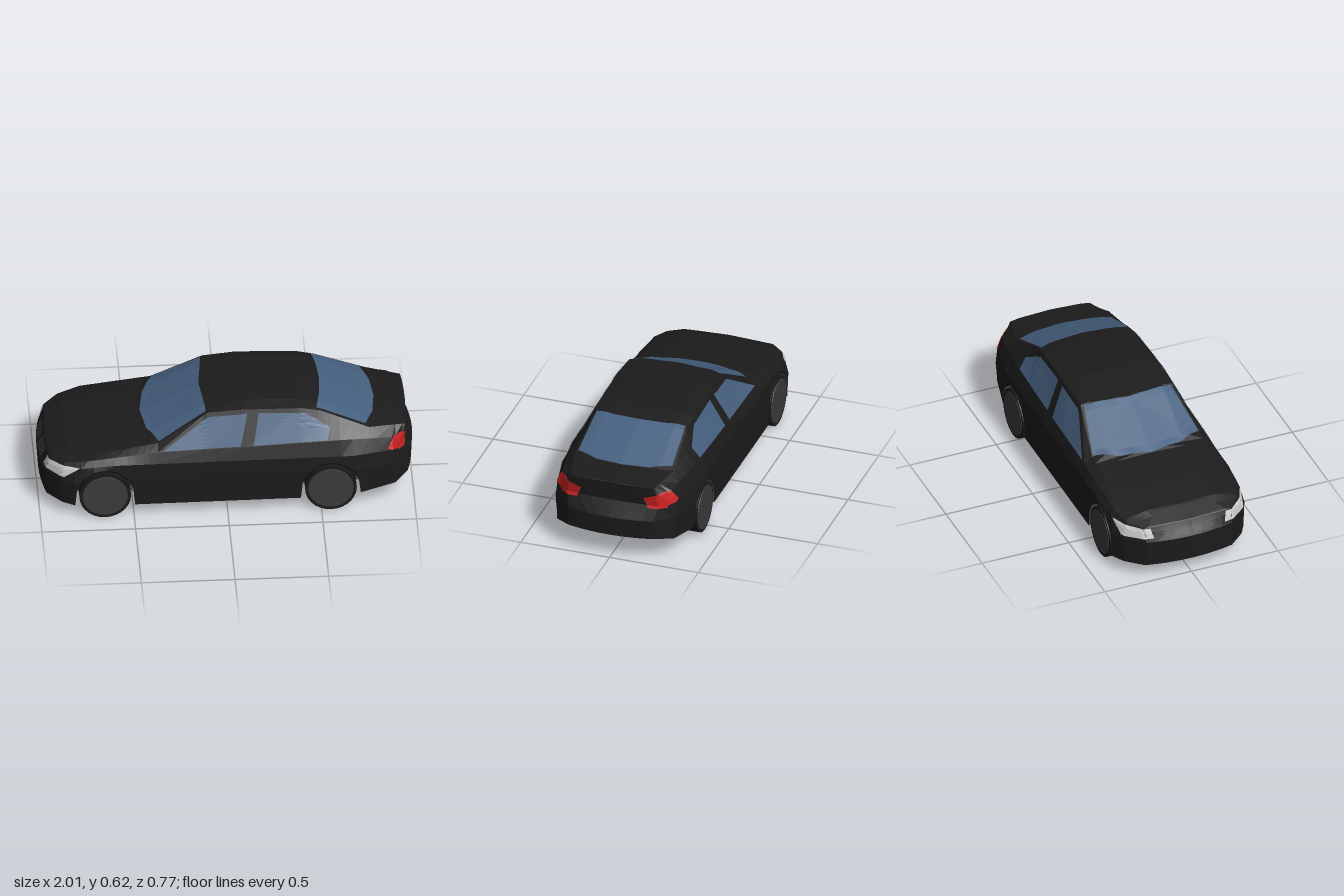
import * as THREE from 'three';

const mat = (color, side = THREE.FrontSide) => new THREE.MeshStandardMaterial({ color, side, flatShading: true });
const WHEELS = [-0.655, 0.55];

// Lengthwise rails of the +z half, lowest to highest: [x, y, z]
const sill = [[-.96, .08, .25], [-.88, .08, .34], [-.81, .08, .38], [-.49, .075, .38], [.39, .08, .38], [.7, .095, .375], [.9, .125, .33], [.97, .14, .24]];
const bumper = [[-.97, .23, .25], [-.89, .23, .345], [-.81, .23, .385], [.68, .25, .385], [.88, .25, .345], [.975, .25, .24]];
const waist = [[-.955, .28, .25], [-.88, .29, .335], [-.78, .31, .37], [-.6, .33, .38], [.67, .34, .38], [.88, .34, .335], [.94, .33, .26]];
const belt = [[-.945, .305, .25], [-.87, .32, .32], [-.75, .345, .35], [-.37, .39, .355], [.1, .405, .355], [.6, .425, .35], [.88, .405, .31], [.95, .395, .25]];
const roofEdge = [[-.94, .31, .22], [-.85, .335, .28], [-.65, .37, .31], [-.37, .42, .31], [-.1, .575, .265], [.08, .59, .27], [.4, .583, .265], [.5, .562, .262], [.76, .455, .28], [.955, .435, .23]];
const crown = [[-.945, .31, .15], [-.85, .35, .2], [-.65, .385, .2], [-.42, .42, .2], [-.12, .58, .2], [.1, .607, .2], [.4, .597, .2], [.5, .577, .2], [.78, .46, .2], [.96, .44, .18]];
const spine = [[-.955, .31, 0], [-.86, .35, 0], [-.65, .39, 0], [-.45, .42, 0], [-.13, .582, 0], [.1, .615, 0], [.4, .602, 0], [.52, .58, 0], [.8, .46, 0], [.965, .445, 0]];
const RAILS = [sill, bumper, waist, belt, roofEdge, crown, spine];
const ARCH = [[0, .292], [.06, .28], [.12, .235], [.15, .18], [.16, .07]];

// Linear lookup in a table keyed by its first column, clamped at both ends
function sample(table, u) {
  if (u <= table[0][0]) return [...table[0]];
  for (let i = 1; i < table.length; i++) {
    const a = table[i - 1], b = table[i];
    if (u <= b[0]) return a.map((v, k) => v + (b[k] - v) * (u - a[0]) / (b[0] - a[0]));
  }
  return [...table[table.length - 1]];
}

// One half cross-section, from the floor centre up to the spine
function section(u) {
  const pts = RAILS.map((r) => sample(r, u));
  const [x, floorY, z] = pts[0];
  const dx = Math.min(...WHEELS.map((c) => Math.abs(u - c)));
  const archY = dx < .16 ? Math.max(floorY, sample(ARCH, dx)[1]) : floorY;
  const inner = Math.min(.25, z);
  pts[0][1] = archY;
  pts[1][1] = Math.max(pts[1][1], archY + .012);
  return [[x, floorY, 0], [x, floorY, inner], [x, archY, inner], ...pts];
}

// Adds a quad and its mirror image
function quad(list, a, b, c, d) {
  const m = ([x, y, z]) => [x, y, -z];
  for (const p of [a, b, c, a, c, d]) list.push(...p);
  for (const p of [a, c, b, a, d, c]) list.push(...m(p));
}

function meshFrom(name, positions, material) {
  const g = new THREE.BufferGeometry();
  g.setAttribute('position', new THREE.Float32BufferAttribute(positions, 3));
  g.computeVertexNormals();
  const mesh = new THREE.Mesh(g, material);
  mesh.name = name;
  return mesh;
}

function buildShell() {
  const paint = [], wells = [];
  const us = RAILS.flat().map((p) => p[0]);
  for (const c of WHEELS) for (const [d] of ARCH) us.push(c - d, c + d);
  const stations = [...new Set(us.map((u) => +u.toFixed(3)))].sort((a, b) => a - b);
  const rings = stations.map(section);
  for (let i = 0; i < rings.length - 1; i++) {
    const p = rings[i], q = rings[i + 1];
    const open = p[2][1] > p[1][1] || q[2][1] > q[1][1];
    for (let j = 0; j < p.length - 1; j++) {
      quad(open && (j === 1 || j === 2) ? wells : paint, p[j], q[j], q[j + 1], p[j + 1]);
    }
  }
  // Bowed nose and tail
  const bulge = [0, .03, .03, .015, .012, .01, .007, 0];
  for (const [ring, s] of [[rings[0], -1], [rings[rings.length - 1], 1]]) {
    const rows = [ring[3], ...ring.slice(3)];
    const at = (j, f) => [rows[j][0] + s * bulge[j] * (1 - f * f), rows[j][1], rows[j][2] * f];
    for (let j = 0; j < rows.length - 1; j++) {
      for (const f of [1, .75, .5, .25]) {
        const c = [at(j, f), at(j + 1, f), at(j + 1, f - .25), at(j, f - .25)];
        if (s > 0) c.reverse();
        quad(paint, ...c);
      }
    }
  }
  return [meshFrom('bodyShell', paint, mat(0x1c1c1c)), meshFrom('wheelWells', wells, mat(0x555555, THREE.DoubleSide))];
}

// Lays four-cornered panels onto the shell along direction n, on both sides of the car
function panel(name, shell, color, n, ...quads) {
  const N = 8, out = [], dir = new THREE.Vector3(...n).normalize();
  const ray = new THREE.Raycaster();
  for (const corners of quads) {
    const [a, b, c, d] = corners.map((p) => new THREE.Vector3(...p));
    const grid = (i, j) => {
      const p = a.clone().lerp(b, i / N).lerp(d.clone().lerp(c, i / N), j / N);
      ray.set(p.clone().add(dir), dir.clone().negate());
      const hit = ray.intersectObject(shell)[0];
      return (hit ? hit.point : p).clone().addScaledVector(dir, .004).toArray();
    };
    for (let i = 0; i < N; i++) {
      for (let j = 0; j < N; j++) quad(out, grid(i, j), grid(i + 1, j), grid(i + 1, j + 1), grid(i, j + 1));
    }
  }
  return meshFrom(name, out, mat(color, THREE.DoubleSide));
}

function wheel(x, side) {
  const g = new THREE.Group();
  g.name = (x < 0 ? 'front' : 'rear') + (side > 0 ? 'Left' : 'Right') + 'Wheel';
  const tyre = new THREE.Mesh(new THREE.CylinderGeometry(.138, .138, .082, 28), mat(0x1a1a1a));
  const disc = new THREE.Mesh(new THREE.CylinderGeometry(.12, .122, .004, 28), mat(0x3c3c3c));
  tyre.name = 'tyre';
  disc.name = 'wheelDisc';
  disc.position.y = .042;
  g.add(tyre, disc);
  g.rotation.x = side * Math.PI / 2;
  g.position.set(x, .138, side * .341);
  return g;
}

export function createModel() {
  const car = new THREE.Group();
  car.name = 'car';
  const [shell, wells] = buildShell();
  car.add(shell, wells);

  // Glass
  const glass = 0x46607f, up = [0, 1, 0], out = [0, 0, 1];
  car.add(
    panel('windscreen', shell, glass, up,
      [[-.45, .5, 0], [-.425, .5, .17], [-.12, .5, .14], [-.135, .5, 0]],
      [[-.425, .5, .17], [-.365, .5, .305], [-.11, .5, .25], [-.12, .5, .14]]),
    panel('rearWindow', shell, glass, up,
      [[.51, .5, 0], [.5, .5, .14], [.785, .5, .15], [.8, .5, 0]],
      [[.5, .5, .14], [.48, .5, .25], [.74, .5, .265], [.785, .5, .15]]),
    panel('frontSideWindows', shell, glass, out,
      [[-.345, .395, .3], [.07, .41, .3], [.11, .572, .3], [-.1, .555, .3]]),
    panel('rearSideWindows', shell, glass, out,
      [[.14, .412, .3], [.535, .427, .3], [.55, .485, .3], [.155, .49, .3]],
      [[.155, .49, .3], [.55, .485, .3], [.42, .56, .3], [.17, .572, .3]]));

  // Lamps and grille
  car.add(
    panel('headlights', shell, 0xcccccc, [-1, 0, 1],
      [[-.97, .25, .2], [-.955, .303, .22], [-.78, .312, .36], [-.87, .25, .35]]),
    panel('tailLampSides', shell, 0xcc2222, [.3, 0, 1],
      [[.855, .35, .335], [.885, .405, .31], [.94, .408, .27], [.94, .315, .28]]),
    panel('tailLampBacks', shell, 0xcc2222, [1, 0, 0],
      [[.95, .41, .28], [.95, .375, .175], [.95, .317, .2], [.95, .315, .3]]),
    panel('grille', shell, 0x333333, [-1, 0, 0],
      [[-.98, .245, .015], [-.98, .245, .14], [-.97, .3, .16], [-.97, .3, .015]]));

  for (const x of WHEELS) for (const side of [1, -1]) car.add(wheel(x, side));
  return car;
}
